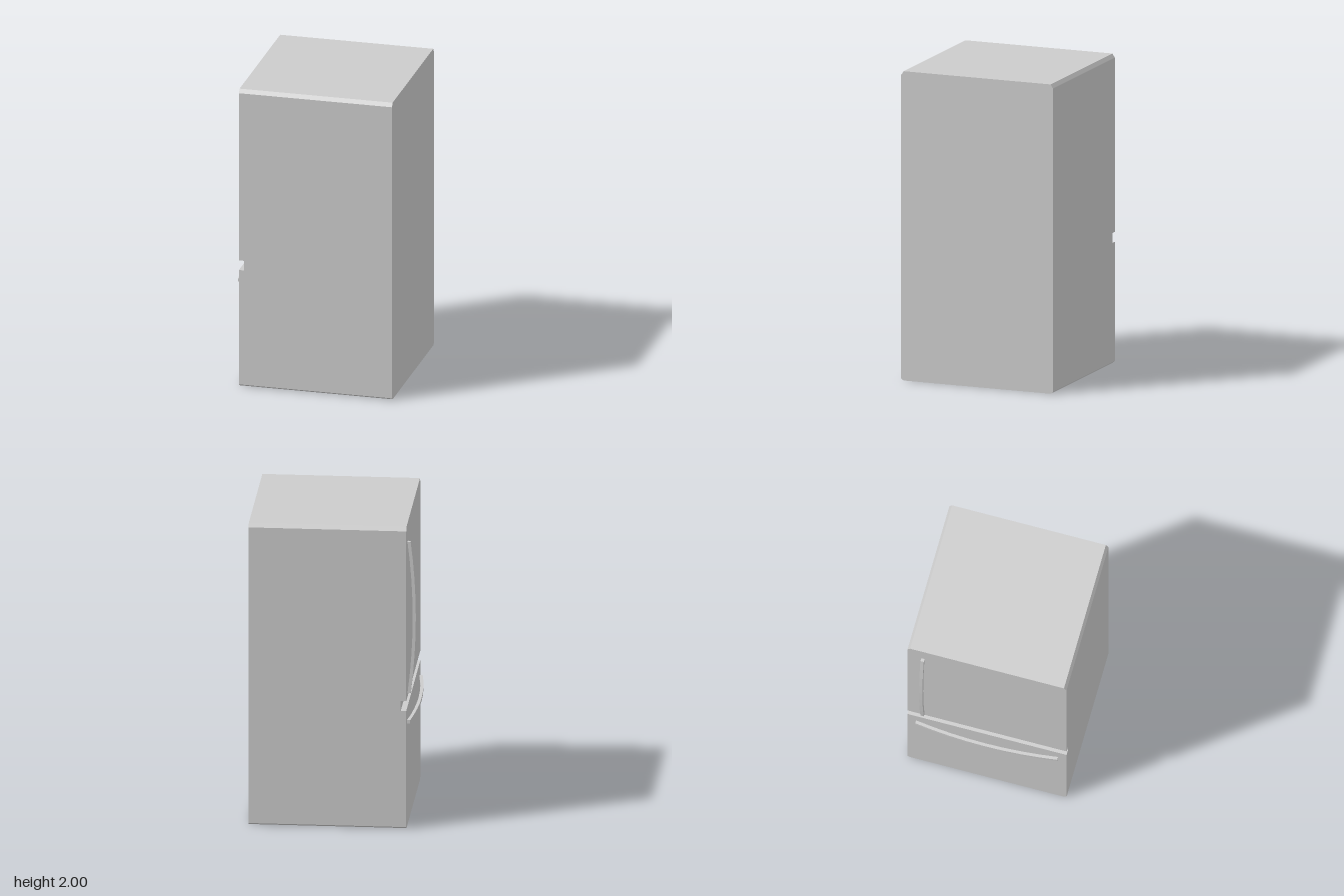
import * as THREE from 'three';

const material = new THREE.MeshStandardMaterial({ color: 0xcccccc, flatShading: true });

// Extrudes a z/y outline along x, from x0 to x1
function slab(name, points, x0, x1) {
  const shape = new THREE.Shape(points.map(([z, y]) => new THREE.Vector2(-z, y)));
  const geometry = new THREE.ExtrudeGeometry(shape, { depth: x1 - x0, bevelEnabled: false });
  geometry.rotateY(Math.PI / 2).translate(x0, 0, 0);
  const mesh = new THREE.Mesh(geometry, material);
  mesh.name = name;
  return mesh;
}

// Bowed bar along y, its ends touching the door face
function handle(name, length, doorX) {
  const steps = 8, width = 0.022;
  const outer = [], inner = [];
  for (let i = 0; i <= steps; i++) {
    const t = (i / steps) * 2 - 1;
    const bow = 0.033 * (1 - t * t);
    const y = (t * length) / 2;
    outer.push(new THREE.Vector2(doorX - 0.02 - bow, y));
    inner.unshift(new THREE.Vector2(doorX - bow, y));
  }
  const geometry = new THREE.ExtrudeGeometry(new THREE.Shape([...outer, ...inner]), {
    depth: width, bevelEnabled: false,
  });
  geometry.translate(0, 0, -width / 2);
  const mesh = new THREE.Mesh(geometry, material);
  mesh.name = name;
  return mesh;
}

export function createModel() {
  const group = new THREE.Group();
  group.name = 'refrigerator';

  const Z = 0.521, C = 0.017;              // half depth and chamfer width
  const doorX = -0.475, cabinetX = -0.44, backX = 0.525;
  const gapLow = 0.783, gapHigh = 0.848;   // groove between the doors

  const bottom = [[Z, 0.012], [Z - C, 0], [-Z + C, 0], [-Z, 0.012]];
  const top = [[-Z, 1.975], [-Z + C, 2], [Z - C, 2], [Z, 1.975]];

  // Cabinet and the two doors
  group.add(slab('cabinet', [...bottom, ...top], cabinetX, backX));
  group.add(slab('upperDoor', [[Z, gapHigh], [-Z, gapHigh], ...top], doorX, cabinetX));
  group.add(slab('freezerDrawer', [...bottom, [-Z, gapLow], [Z, gapLow]], doorX, cabinetX));

  // Upright door handle
  const doorHandle = handle('doorHandle', 1.005, doorX);
  doorHandle.position.set(0, 1.375, -0.42);
  group.add(doorHandle);

  // Level drawer handle
  const drawerHandle = handle('drawerHandle', 0.93, doorX);
  drawerHandle.rotation.x = Math.PI / 2;
  drawerHandle.position.set(0, 0.694, 0);
  group.add(drawerHandle);

  return group;
}
